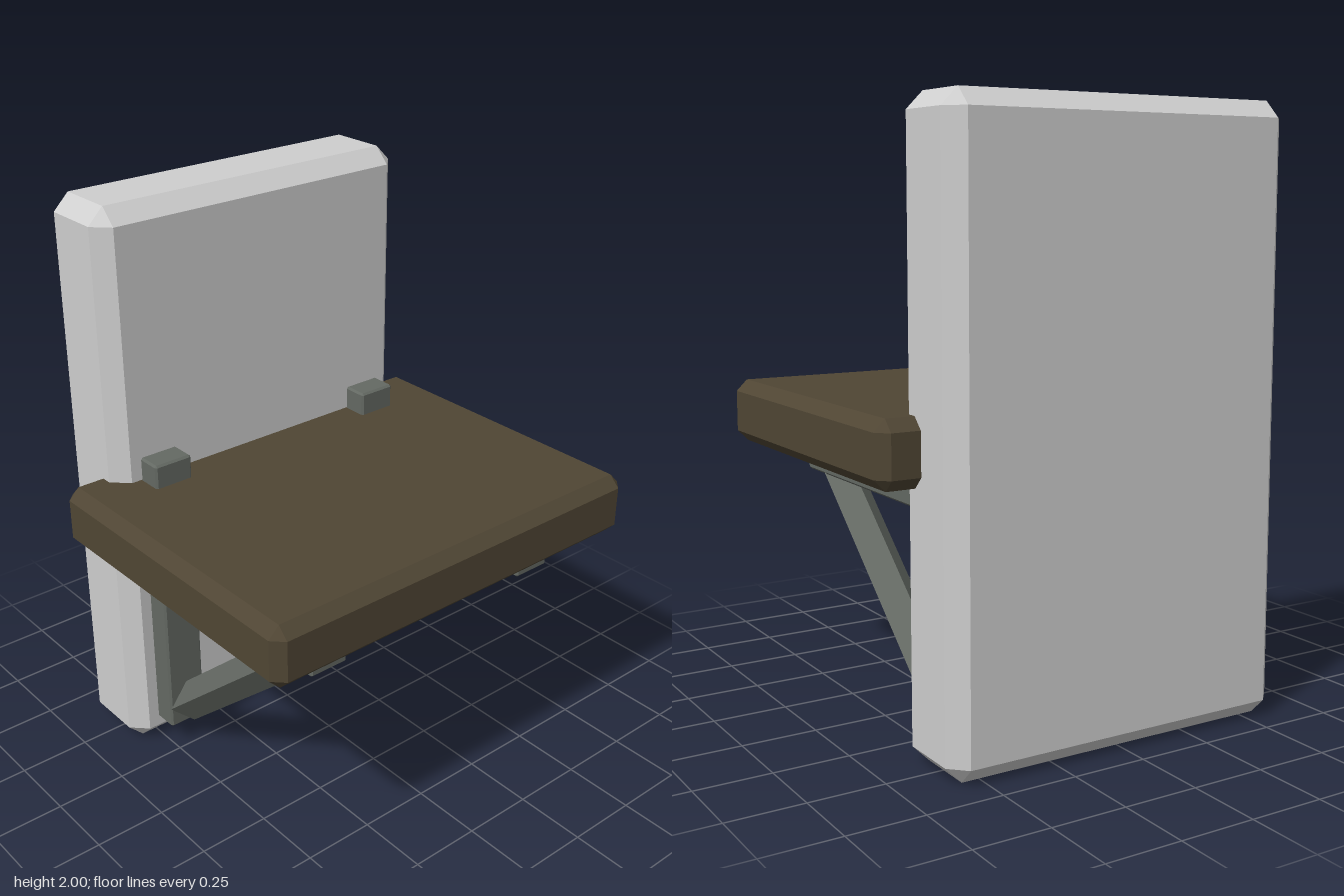
import * as THREE from 'three';
import { ConvexGeometry } from 'three/addons/geometries/ConvexGeometry.js';

const panelGrey = new THREE.MeshStandardMaterial({ name: 'panelGrey', color: 0xcfcfcf });
const seatBrown = new THREE.MeshStandardMaterial({ name: 'seatBrown', color: 0x504634 });
const bracketMetal = new THREE.MeshStandardMaterial({ name: 'bracketMetal', color: 0x646963 });

// Box between two corners with flat chamfers of size c on every edge
function chamferBox(name, min, max, c, material) {
  const size = max.map((v, i) => (v - min[i]) / 2);
  const mid = max.map((v, i) => (v + min[i]) / 2);
  const points = [];
  for (const sx of [-1, 1]) for (const sy of [-1, 1]) for (const sz of [-1, 1]) {
    for (let axis = 0; axis < 3; axis++) {
      const p = [sx, sy, sz].map((s, i) => s * (size[i] - (i === axis ? 0 : c)));
      points.push(new THREE.Vector3(...p));
    }
  }
  const mesh = new THREE.Mesh(new ConvexGeometry(points), material);
  mesh.name = name;
  mesh.position.set(...mid);
  return mesh;
}

// Four-sided diagonal strut with its ridges up, down and to the sides
function strut(name, from, to, radius, material) {
  const dir = to.clone().sub(from);
  const geometry = new THREE.CylinderGeometry(radius, radius, dir.length(), 4).toNonIndexed();
  geometry.computeVertexNormals();
  const mesh = new THREE.Mesh(geometry, material);
  mesh.name = name;
  mesh.position.copy(from).add(to).multiplyScalar(0.5);
  mesh.rotation.x = Math.atan2(dir.z, dir.y);
  return mesh;
}

export function createModel() {
  const model = new THREE.Group();
  model.name = 'wallSeat';

  // Backrest panel and seat slab
  model.add(chamferBox('backrest', [-0.613, 0, -0.665], [0.613, 2, -0.352], 0.055, panelGrey));
  model.add(chamferBox('seat', [-0.747, 0.855, -0.48], [0.747, 1.07, 0.665], 0.038, seatBrown));

  // Mirrored support brackets: upright, arm and diagonal brace
  for (const side of [-1, 1]) {
    const bracket = new THREE.Group();
    bracket.name = side > 0 ? 'leftBracket' : 'rightBracket';
    bracket.position.x = side * 0.449;
    bracket.add(
      chamferBox('upright', [-0.071, 0.095, -0.354], [0.071, 1.153, -0.261], 0.007, bracketMetal),
      chamferBox('arm', [-0.071, 0.75, -0.354], [0.071, 0.89, 0.537], 0.007, bracketMetal),
      strut('brace', new THREE.Vector3(0, 0.171, -0.267), new THREE.Vector3(0, 0.8, 0.46), 0.069, bracketMetal),
    );
    model.add(bracket);
  }
  return model;
}
